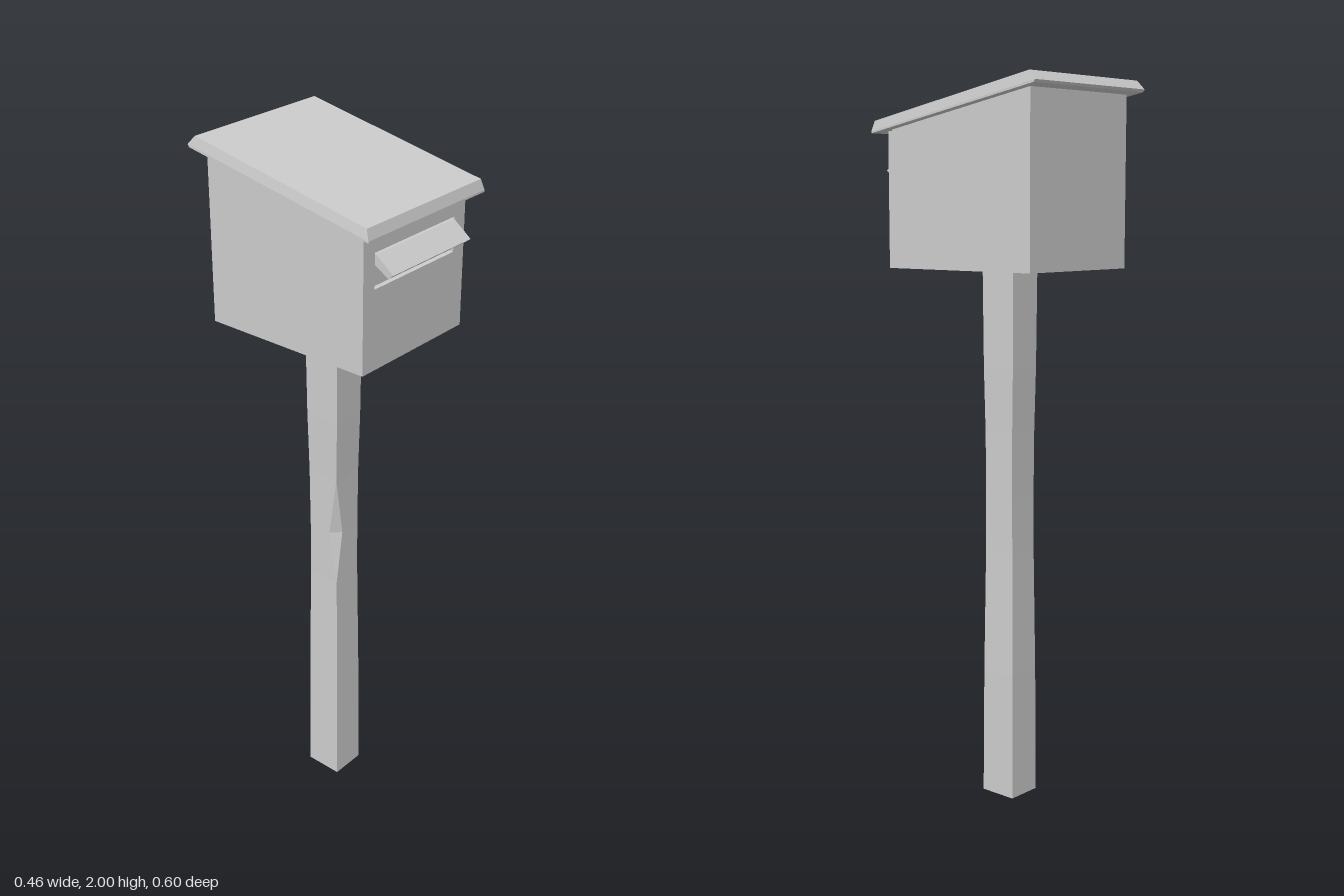
import * as THREE from 'three';

const material = new THREE.MeshStandardMaterial({ color: 0xcccccc, flatShading: true });

function addMesh(group, name, geometry) {
  const mesh = new THREE.Mesh(geometry, material);
  mesh.name = name;
  group.add(mesh);
  return mesh;
}

// Skins a stack of equal-length rings (counter-clockwise seen from above), with end caps.
function loft(rings) {
  const tris = [];
  const add = (...points) => points.forEach(p => tris.push(...p));
  const n = rings[0].length;
  for (let i = 0; i < rings.length - 1; i++) {
    for (let j = 0; j < n; j++) {
      const k = (j + 1) % n;
      const [a, b, c, d] = [rings[i][j], rings[i][k], rings[i + 1][k], rings[i + 1][j]];
      add(a, b, c);
      add(a, c, d);
    }
  }
  const bottom = rings[0], top = rings[rings.length - 1];
  for (let j = 1; j < n - 1; j++) {
    add(bottom[0], bottom[j + 1], bottom[j]);
    add(top[0], top[j], top[j + 1]);
  }
  const geometry = new THREE.BufferGeometry();
  geometry.setAttribute('position', new THREE.Float32BufferAttribute(tris, 3));
  geometry.computeVertexNormals();
  return geometry;
}

// Rectangle ring whose height differs between the front and back edges.
function ring(x, zFront, yFront, zBack, yBack) {
  return [[-x, yFront, zFront], [x, yFront, zFront], [x, yBack, zBack], [-x, yBack, zBack]];
}

function rectanglePath(path, x, y0, y1) {
  path.moveTo(-x, y0);
  path.lineTo(x, y0);
  path.lineTo(x, y1);
  path.lineTo(-x, y1);
  path.closePath();
  return path;
}

export function createModel() {
  const group = new THREE.Group();
  group.name = 'letterbox';

  // Hand-cut post, slimmer in the middle, with a notch in its front corner
  const levels = [ // height, half width, half depth, notch size
    [0, 0.052, 0.055, 0], [0.36, 0.05, 0.053, 0], [0.71, 0.046, 0.049, 0],
    [0.87, 0.046, 0.048, 0.026], [1.05, 0.047, 0.049, 0],
    [1.23, 0.049, 0.053, 0], [1.51, 0.051, 0.055, 0],
  ];
  const post = addMesh(group, 'post', loft(levels.map(([y, w, d, cut]) => [
    [-w + cut, y, d], [w, y, d], [w, y, -d], [-w, y, -d], [-w, y, d - cut],
  ])));
  post.position.z = -0.02;

  // Box with a sloping top
  addMesh(group, 'boxBody', loft([
    ring(0.2, 0.23, 1.5, -0.26, 1.5),
    ring(0.2, 0.23, 1.872, -0.26, 1.964),
  ]));

  // Front panel with the letter slot cut through
  const panel = rectanglePath(new THREE.Shape(), 0.2, 1.5, 1.869);
  panel.holes.push(rectanglePath(new THREE.Path(), 0.157, 1.716, 1.81));
  const panelGeometry = new THREE.ExtrudeGeometry(panel, { depth: 0.014, bevelEnabled: false });
  addMesh(group, 'frontPanel', panelGeometry.translate(0, 0, 0.23));

  // Flap hinged above the slot
  const flap = new THREE.Shape([[0.232, 1.807], [0.245, 1.805], [0.298, 1.765], [0.283, 1.753], [0.232, 1.783]]
    .map(([z, y]) => new THREE.Vector2(-z, y)));
  const flapGeometry = new THREE.ExtrudeGeometry(flap, { depth: 0.308, bevelEnabled: false });
  addMesh(group, 'slotFlap', flapGeometry.translate(0, 0, -0.154).rotateY(Math.PI / 2));

  // Overhanging roof slab, a little smaller on top
  addMesh(group, 'roof', loft([
    ring(0.228, 0.281, 1.863, -0.294, 1.969),
    ring(0.228, 0.281, 1.868, -0.299, 1.976),
    ring(0.223, 0.272, 1.896, -0.277, 2),
  ]));

  return group;
}
